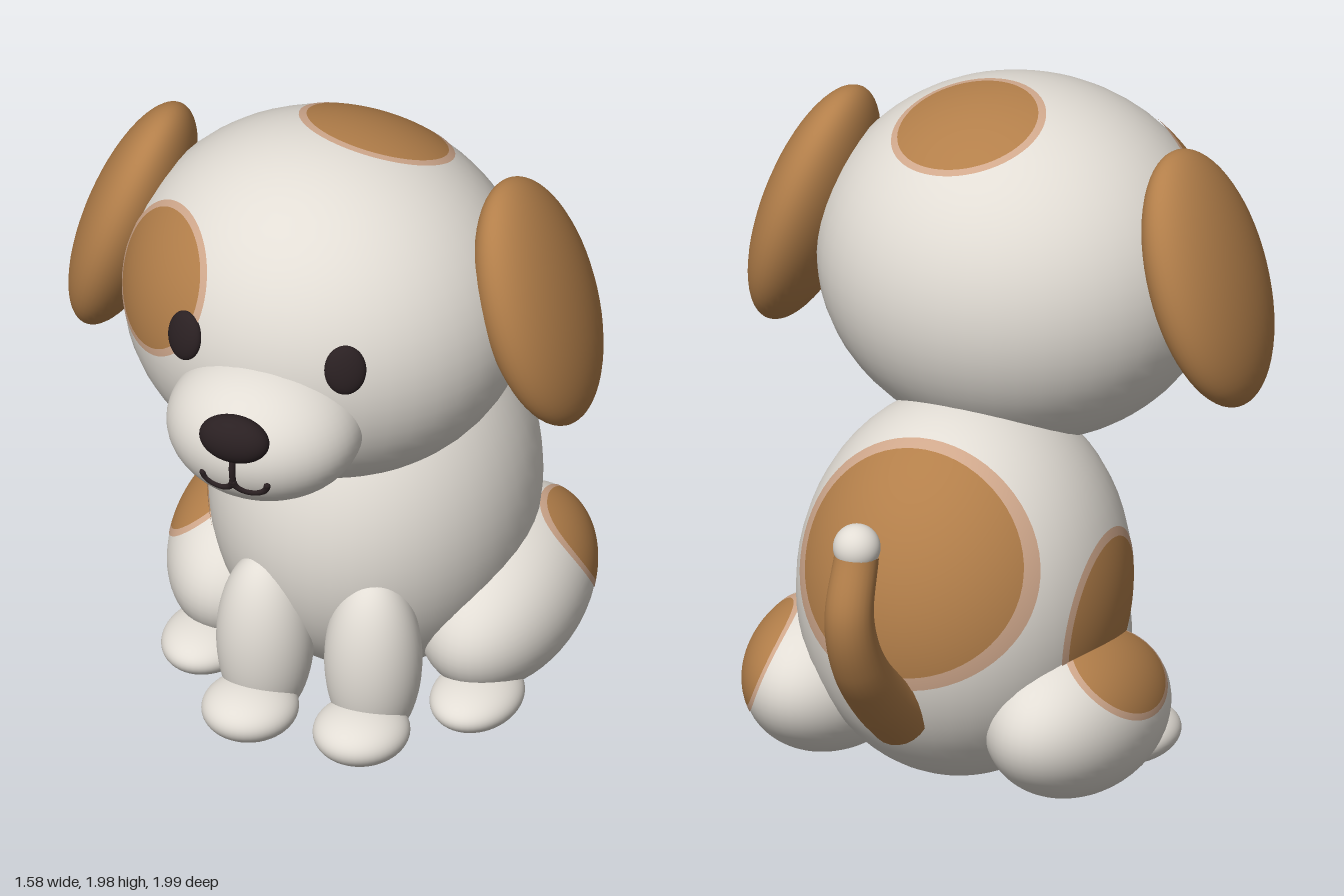
import * as THREE from 'three';

const mat = (name, color, opts = {}) => {
  const m = new THREE.MeshStandardMaterial({ color, ...opts });
  m.name = name;
  return m;
};

export function createModel() {
  const white = mat('coatWhite', 0xe2ddd5);
  const brown = mat('patchBrown', 0xb37f4a);
  const pale = mat('patchEdge', 0xd0a88c);
  const dark = mat('darkBrown', 0x2a2022);

  const dog = new THREE.Group();
  dog.name = 'puppy';
  const ball = new THREE.SphereGeometry(1, 48, 32);

  const add = (name, geometry, material, parent = dog) => {
    const mesh = new THREE.Mesh(geometry, material);
    mesh.name = name;
    parent.add(mesh);
    return mesh;
  };

  // Ellipsoid with a centre, radii and a tilt
  const blob = (name, pos, radii, material = white, rot = [0, 0, 0]) => {
    const mesh = add(name, ball, material);
    mesh.position.set(...pos);
    mesh.scale.set(...radii);
    mesh.rotation.set(...rot);
    return mesh;
  };

  // Piece of a unit sphere around direction d, between fractions r0 and r1 of the angles a and b
  const capGeometry = (d, a, b, r0, r1) => {
    const w = new THREE.Vector3(...d).normalize();
    const u = new THREE.Vector3(0, 1, 0).cross(w).normalize();
    const v = w.clone().cross(u);
    const geo = new THREE.RingGeometry(r0, r1, 64, r0 > 0.5 ? 2 : 12);
    const p = geo.attributes.position;
    for (let i = 0; i < p.count; i++) {
      const x = p.getX(i) * Math.sin(a), y = p.getY(i) * Math.sin(b);
      const q = w.clone().multiplyScalar(Math.sqrt(Math.max(0, 1 - x * x - y * y)))
        .addScaledVector(u, x).addScaledVector(v, y);
      geo.attributes.normal.setXYZ(i, q.x, q.y, q.z);
      q.multiplyScalar(1.006);
      p.setXYZ(i, q.x, q.y, q.z);
    }
    return geo;
  };

  // Brown patch with a pale rim, painted on an ellipsoid
  const patch = (name, host, d, a, b = a) => {
    add(name, capGeometry(d, a, b, 0.001, 1), brown, host);
    add(name + 'Edge', capGeometry(d, a, b, 1, 1.1), pale, host);
  };

  // Body and head
  const body = blob('body', [0, 0.6, -0.16], [0.47, 0.57, 0.52]);
  patch('backPatch', body, [0, 0.433, -0.9], 0.8, 0.62);
  patch('sidePatch', body, [-1, -0.12, 0.05], 0.46);

  const headPos = [0, 1.455, 0.215], headR = [0.59, 0.525, 0.545];
  const head = blob('head', headPos, headR);
  patch('crownPatch', head, [0.155, 0.93, -0.335], 0.365);
  patch('eyePatch', head, [-0.69, 0.32, 0.65], 0.39);

  // Muzzle and nose
  const muzzlePos = [0, 1.31, 0.7], muzzleR = [0.285, 0.21, 0.26];
  blob('muzzle', muzzlePos, muzzleR);
  blob('nose', [0, 1.4, 0.942], [0.105, 0.073, 0.058], dark);

  // Mouth lines laid on the muzzle surface
  const onMuzzle = (x, y) => new THREE.Vector3(x, y, muzzlePos[2] + muzzleR[2] *
    Math.sqrt(1 - (x / muzzleR[0]) ** 2 - ((y - muzzlePos[1]) / muzzleR[1]) ** 2));
  const line = (name, pts) => {
    add(name, new THREE.TubeGeometry(new THREE.CatmullRomCurve3(pts), 20, 0.01, 8), dark);
    for (const end of [pts[0], pts[pts.length - 1]]) {
      add(name + 'End', new THREE.SphereGeometry(0.01, 10, 8), dark).position.copy(end);
    }
  };
  line('mouthStem', [1.35, 1.3, 1.25].map((y) => onMuzzle(0, y)));

  for (const s of [1, -1]) {
    const side = s > 0 ? 'left' : 'right';

    const smile = [];
    for (let i = 0; i <= 8; i++) {
      const t = Math.PI * (1 + i / 8);
      smile.push(onMuzzle(s * (0.05 + 0.048 * Math.cos(t)), 1.26 + 0.036 * Math.sin(t)));
    }
    line(side + 'Mouth', smile);

    // Eyes face along the head's surface normal
    const ex = s * 0.245, ey = 1.545;
    const nx = ex / headR[0], ny = (ey - headPos[1]) / headR[1];
    const nz = Math.sqrt(1 - nx * nx - ny * ny);
    const eye = blob(side + 'Eye', [ex, ey, headPos[2] + nz * headR[2]], [0.06, 0.075, 0.028], dark);
    eye.lookAt(eye.position.clone().add(
      new THREE.Vector3(nx / headR[0], ny / headR[1], nz / headR[2])));

    blob(side + 'Ear', [s * 0.62, 1.53, 0.15], [0.13, 0.385, 0.26], brown, [0, 0, s * 0.305]);

    // Legs and paws
    blob(side + 'FrontLeg', [s * 0.165, 0.28, 0.28], [0.14, 0.28, 0.14]);
    blob(side + 'FrontPaw', [s * 0.17, 0.1, 0.385], [0.138, 0.08, 0.148]);
    blob(side + 'BackPaw', [s * 0.41, 0.1, 0.095], [0.13, 0.073, 0.17]);
    const haunch = blob(side + 'Haunch', [s * 0.38, 0.28, -0.21], [0.235, 0.237, 0.382], white, [0.12, 0, 0]);
    if (s > 0) patch('leftHaunchPatch', haunch, [0.7, 0.35, -0.62], 0.52, 0.7);
    else patch('rightHaunchPatch', haunch, [-0.64, 0.77, 0], 0.58, 0.68);
  }

  // Tapered curved tail with a closed base and a white tip
  const path = new THREE.CatmullRomCurve3([
    [0.35, -0.59], [0.47, -0.735], [0.63, -0.87], [0.79, -0.922], [0.96, -0.872],
  ].map(([y, z]) => new THREE.Vector3(0, y, z)));
  const segs = 40, sides = 24;
  const tube = new THREE.TubeGeometry(path, segs, 1, sides);
  const tp = tube.attributes.position, q = new THREE.Vector3();
  for (let i = 0; i < tp.count; i++) {
    const t = Math.floor(i / (sides + 1)) / segs;
    const c = path.getPointAt(t);
    q.fromBufferAttribute(tp, i).sub(c).multiplyScalar(0.092 - 0.028 * t).add(c);
    tp.setXYZ(i, q.x, q.y, q.z);
  }
  add('tail', tube, brown);
  const base = add('tailBase', new THREE.CircleGeometry(0.092, sides), brown);
  base.position.copy(path.getPointAt(0));
  base.lookAt(base.position.clone().sub(path.getTangentAt(0)));
  blob('tailTip', [0, 0.985, -0.872], [0.068, 0.068, 0.068]);

  return dog;
}
